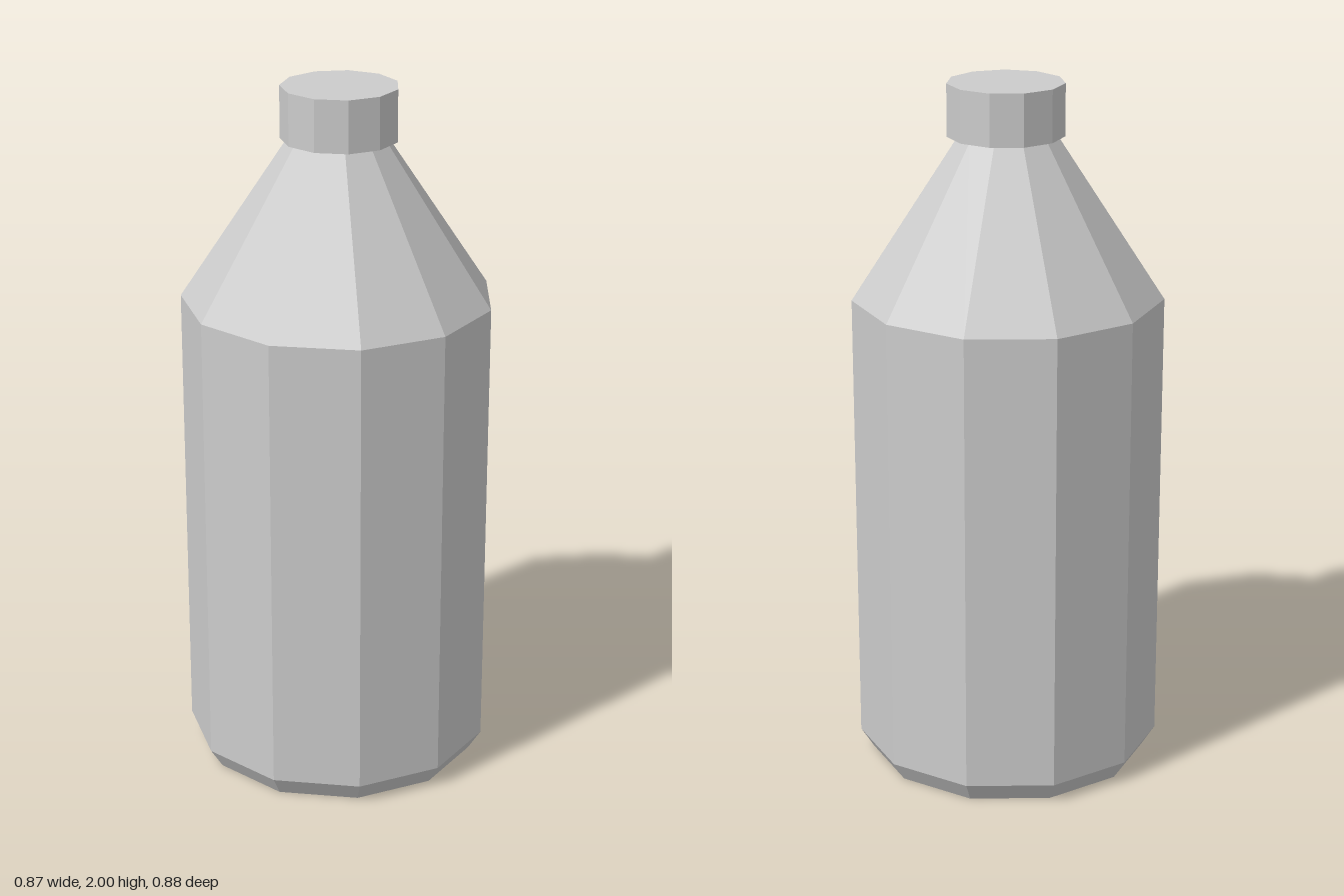
import * as THREE from 'three';

const SIDES = 11;

// Faceted solid of revolution from [radius, height] pairs, one corner on +x
function turned(name, profile, x, material) {
  const points = profile.map(([r, y]) => new THREE.Vector2(r, y));
  const mesh = new THREE.Mesh(new THREE.LatheGeometry(points, SIDES, Math.PI / 2), material);
  mesh.name = name;
  mesh.position.x = x;
  return mesh;
}

export function createModel() {
  const group = new THREE.Group();
  group.name = 'bottle';
  const grey = new THREE.MeshStandardMaterial({ color: 0xcccccc, flatShading: true });

  // Body: flat base, bevelled foot, straight wall and tapering shoulder
  group.add(turned('body', [
    [0, 0], [0.405, 0], [0.4427, 0.06], [0.4427, 1.395], [0.141, 1.85], [0, 1.85],
  ], -0.01, grey));

  // Cap: slightly wider than the neck
  group.add(turned('cap', [
    [0, 1.852], [0.165, 1.852], [0.165, 2], [0, 2],
  ], -0.0045, grey));

  return group;
}
